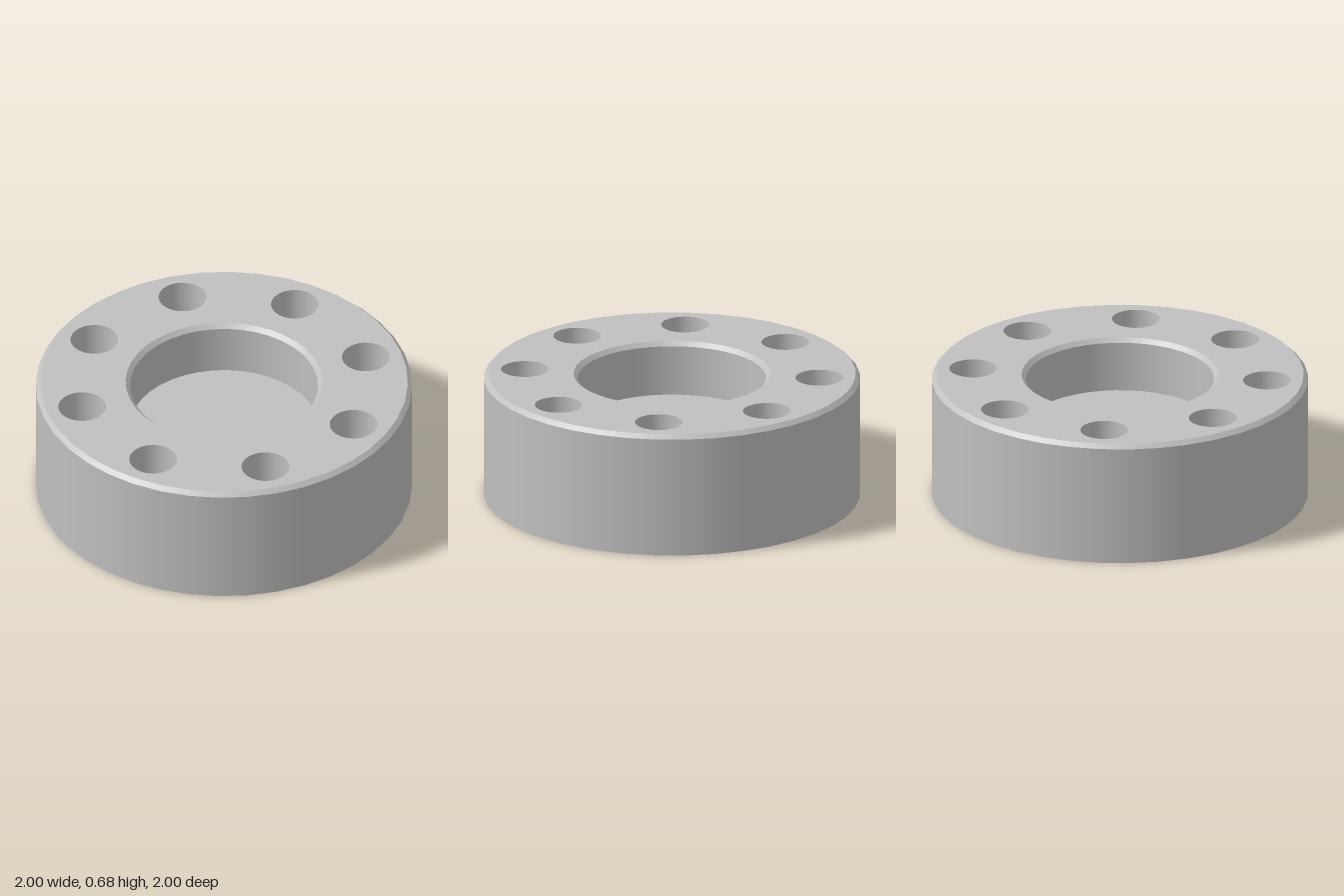
import * as THREE from 'three';

const TOP = 0.675, CHAMFER = 0.023, SIDES = 40;
const BORE = 0.5, BORE_FLOOR = 0.38;
const HOLE = 0.127, HOLE_RING = 0.785, HOLE_FLOOR = 0.38;

export function createModel() {
  const group = new THREE.Group();
  const steel = new THREE.MeshStandardMaterial({ color: 0xc0c0c0 });
  steel.name = 'steel grey';

  const add = (name, geometry, parent = group) => {
    const mesh = new THREE.Mesh(geometry, steel);
    mesh.name = name;
    parent.add(mesh);
    return mesh;
  };
  // One surface of revolution per profile segment keeps the edges sharp
  const band = (name, r0, y0, r1, y1, sides = SIDES, parent = group) =>
    add(name, new THREE.LatheGeometry(
      [new THREE.Vector2(r0, y0), new THREE.Vector2(r1, y1)], sides), parent);
  const circle = (r, sides, cx = 0, cy = 0) => Array.from({ length: sides }, (_, i) => {
    const a = (i / sides) * Math.PI * 2;
    return new THREE.Vector2(cx + r * Math.sin(a), cy - r * Math.cos(a));
  });

  // Outer body
  band('bottomFace', 0, 0, 1, 0);
  band('outerWall', 1, 0, 1, TOP - CHAMFER);
  band('outerChamfer', 1, TOP - CHAMFER, 1 - CHAMFER, TOP);

  // Central blind bore
  band('boreChamfer', BORE + CHAMFER, TOP, BORE, TOP - CHAMFER);
  band('boreWall', BORE, TOP - CHAMFER, BORE, BORE_FLOOR);
  band('boreFloor', BORE, BORE_FLOOR, 0, BORE_FLOOR);

  // Flat top ring with the bore and bolt holes cut out
  const ring = new THREE.Shape(circle(1 - CHAMFER, SIDES));
  ring.holes.push(new THREE.Path(circle(BORE + CHAMFER, SIDES)));

  // Eight blind bolt holes
  for (let i = 0; i < 8; i++) {
    const a = (i / 8) * Math.PI * 2;
    const x = HOLE_RING * Math.sin(a), z = HOLE_RING * Math.cos(a);
    ring.holes.push(new THREE.Path(circle(HOLE, 32, x, -z)));
    const hole = new THREE.Group();
    hole.name = 'boltHole' + (i + 1);
    hole.position.set(x, 0, z);
    band('holeWall', HOLE, TOP, HOLE, HOLE_FLOOR, 32, hole);
    band('holeFloor', HOLE, HOLE_FLOOR, 0, HOLE_FLOOR, 32, hole);
    group.add(hole);
  }

  const topFace = new THREE.ShapeGeometry(ring);
  topFace.rotateX(-Math.PI / 2);
  topFace.translate(0, TOP, 0);
  add('topFace', topFace);

  return group;
}
